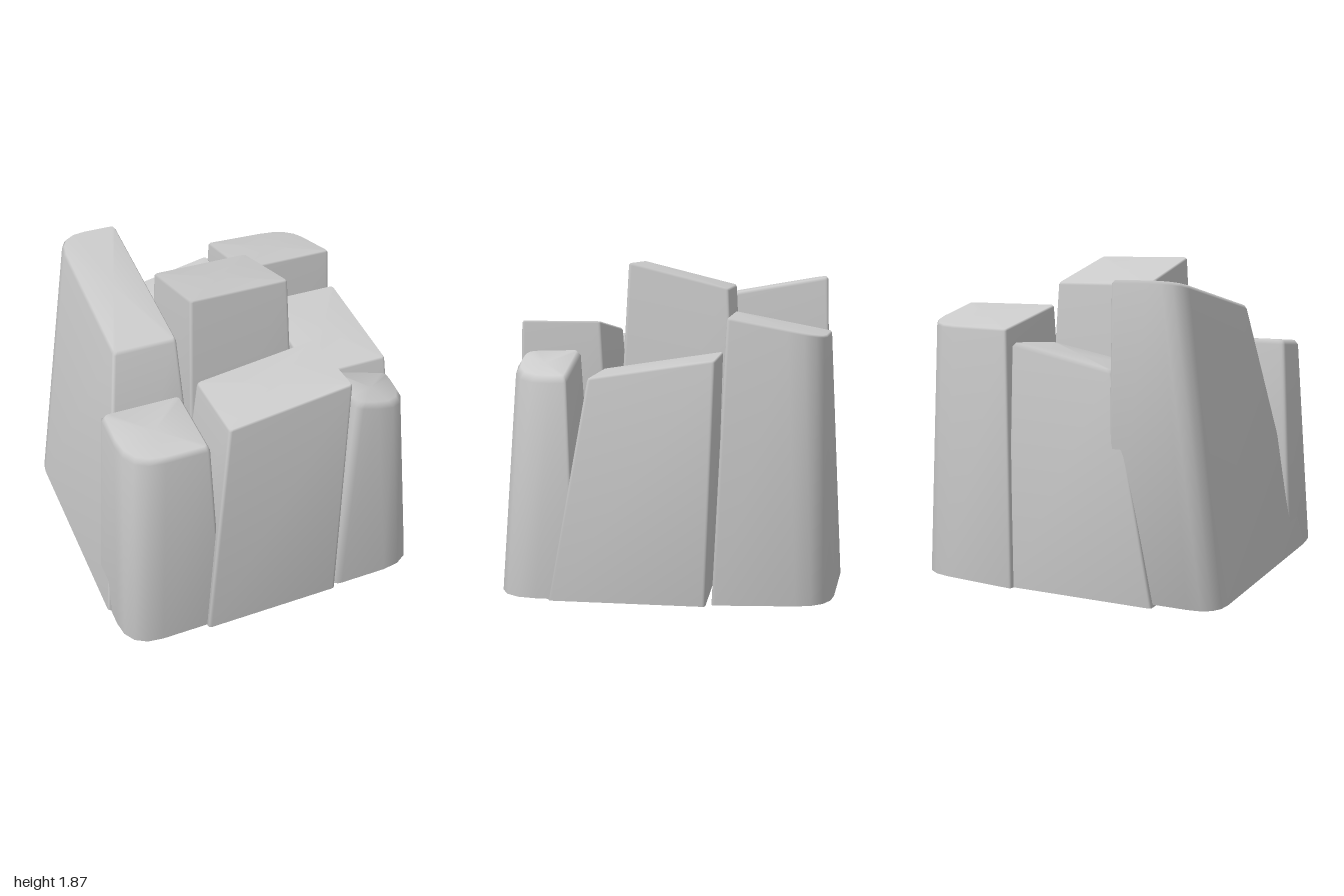
import * as THREE from 'three';

const ARC = 4; // segments per rounded corner

const rect = (x0, x1, z0, z1) => [[x0, z0], [x1, z0], [x1, z1], [x0, z1]];
const mix = (a, b, t) => a + (b - a) * t;

// Four corners (back-left, back-right, front-right, front-left in x), each rounded by a short curve
function outline(corners, radii) {
  const points = corners.map(([x, z]) => new THREE.Vector2(x, z));
  return points.flatMap((p, c) => {
    const towards = (q) => q.clone().sub(p).setLength(radii[c]).add(p);
    const curve = new THREE.QuadraticBezierCurve(
      towards(points[(c + 3) % 4]), p, towards(points[(c + 1) % 4]));
    return curve.getPoints(ARC);
  });
}

// Tapered rock column: base ring, shoulder ring, narrow bevel and sloping top, all smoothly shaded
function pillar({ name, base, top, heights, lift = 0, bevel = 0.012, round = [0.02, 0.02, 0.02, 0.02] }) {
  const xs = top.map((p) => p[0]), zs = top.map((p) => p[1]);
  const x0 = Math.min(...xs), x1 = Math.max(...xs), z0 = Math.min(...zs), z1 = Math.max(...zs);
  const cx = (x0 + x1) / 2, cz = (z0 + z1) / 2;
  const heightAt = (x, z) => {
    const u = (x - x0) / (x1 - x0), v = (z - z0) / (z1 - z0);
    return mix(mix(heights[0], heights[1], u), mix(heights[3], heights[2], u), v);
  };
  const shrinkX = 1 - 1.2 * bevel / (x1 - x0), shrinkZ = 1 - 1.2 * bevel / (z1 - z0);
  const inset = top.map(([x, z]) => [cx + (x - cx) * shrinkX, cz + (z - cz) * shrinkZ]);
  const rings = [
    outline(base, round).map(([x, z]) => [x, lift, z]),
    outline(top, round).map(([x, z]) => [x, heightAt(x, z) - bevel, z]),
    outline(inset, round).map(([x, z]) => [x, heightAt(x, z), z]),
  ];
  const n = rings[0].length;
  const verts = rings.flat(2);
  const bx = (base[0][0] + base[2][0]) / 2, bz = (base[0][1] + base[2][1]) / 2;
  verts.push(bx, lift, bz, cx, heightAt(cx, cz), cz);
  const index = [];
  const bottom = 3 * n, crown = 3 * n + 1;
  for (let i = 0; i < n; i++) {
    const j = (i + 1) % n;
    for (let k = 0; k < 2; k++) {
      const a = k * n + i, b = k * n + j;
      index.push(a, a + n, b, b, a + n, b + n);
    }
    index.push(i, j, bottom, 2 * n + j, 2 * n + i, crown);
  }
  const geo = new THREE.BufferGeometry();
  geo.setAttribute('position', new THREE.Float32BufferAttribute(verts, 3));
  geo.setIndex(index);
  geo.computeVertexNormals();
  const mesh = new THREE.Mesh(geo, new THREE.MeshStandardMaterial({ color: 0xcccccc }));
  mesh.name = name;
  return mesh;
}

export function createModel() {
  const group = new THREE.Group();
  group.name = 'rockPillarCluster';
  // heights and rounding follow the corner order of the outline
  const pillars = [
    { name: 'centerPillar', base: rect(-0.36, 0.39, -0.38, 0.4), top: rect(-0.3, 0.3, -0.3, 0.3),
      heights: [1.72, 1.72, 1.87, 1.87], lift: 0.01 },
    { name: 'longSidePillar', base: rect(-1, -0.35, -0.93, 0.64), top: rect(-0.735, -0.35, -0.88, 0.21),
      heights: [1.77, 1.77, 1.58, 1.58], lift: 0.015, bevel: 0.02, round: [0.17, 0.02, 0.02, 0.02] },
    { name: 'backMiddlePillar', base: rect(-0.63, 0.28, -0.96, -0.35), top: rect(-0.35, 0.28, -0.88, -0.39),
      heights: [1.28, 1.41, 1.37, 1.25], bevel: 0.025 },
    { name: 'backCornerPillar', base: [[0.24, -0.99], [0.91, -0.93], [0.97, -0.27], [0.24, -0.27]],
      top: [[0.3, -0.91], [0.87, -0.87], [0.905, -0.34], [0.3, -0.34]],
      heights: [1.48, 1.48, 1.59, 1.59], round: [0.02, 0.2, 0.02, 0.02] },
    { name: 'sideMiddlePillar', base: rect(0.38, 1, -0.24, 0.65), top: rect(0.42, 0.92, -0.28, 0.43),
      heights: [1.36, 1.36, 1.25, 1.25] },
    { name: 'frontMiddlePillar', base: rect(-0.48, 0.37, 0.38, 0.99), top: rect(-0.33, 0.41, 0.45, 0.93),
      heights: [1.43, 1.53, 1.53, 1.43] },
    { name: 'frontLowPillar', base: rect(0.37, 0.97, 0.5, 0.97), top: rect(0.45, 0.85, 0.56, 0.9),
      heights: [1.37, 1.25, 1.24, 1.36], bevel: 0.035, round: [0.02, 0.02, 0.24, 0.06] },
    { name: 'frontCornerPillar', base: rect(-0.98, -0.37, 0.4, 0.96), top: rect(-0.9, -0.42, 0.43, 0.89),
      heights: [1.36, 1.36, 1.32, 1.32], bevel: 0.03, round: [0.03, 0.02, 0.02, 0.22] },
  ];
  pillars.forEach((p) => group.add(pillar(p)));
  return group;
}
